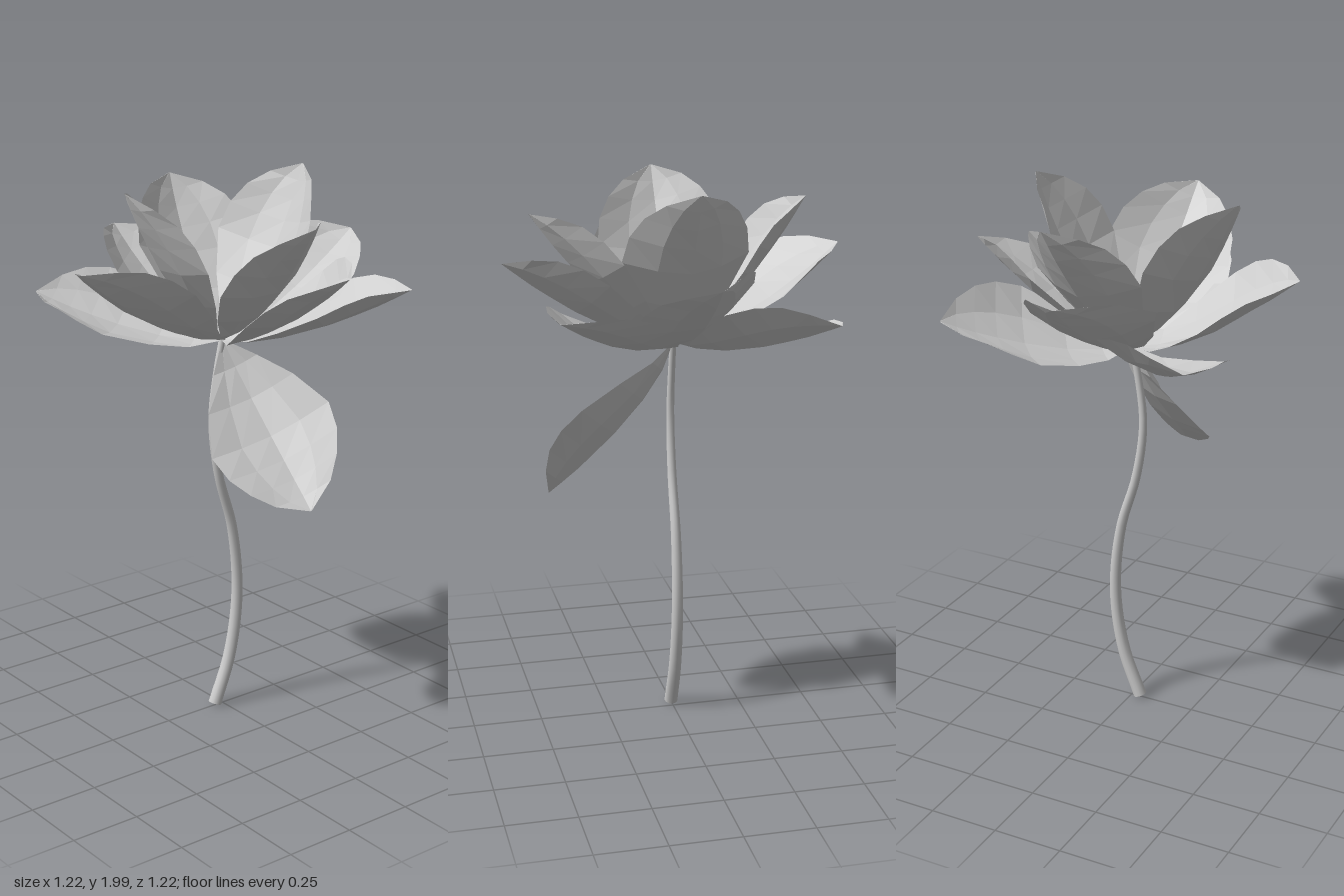
import * as THREE from 'three';

const BASE = new THREE.Vector3(0, 1.415, 0);
const LENGTH = 0.69;

// Rows along a petal: distance from base, half width, midrib height, rim height
const ROWS = [
  [0, 0.004, 0, 0],
  [0.1, 0.085, -0.03, -0.012],
  [0.225, 0.165, -0.047, 0.008],
  [0.38, 0.225, -0.046, 0.036],
  [0.48, 0.207, -0.036, 0.052],
  [0.56, 0.165, -0.026, 0.052],
  [0.63, 0.105, -0.013, 0.03],
  [LENGTH, 0.004, 0, 0],
];
const COLUMNS = [-1, -0.5, 0, 0.5, 1];

// Cupped, faceted petal: x across, y along, z towards the inner face
function petalGeometry() {
  const positions = [], index = [], n = COLUMNS.length;
  for (const [along, half, mid, rim] of ROWS) {
    for (const s of COLUMNS) {
      positions.push(s * half, along, mid + (rim - mid) * Math.abs(s) ** 1.6);
    }
  }
  for (let r = 0; r < ROWS.length - 1; r++) {
    for (let c = 0; c < n - 1; c++) {
      const a = r * n + c, b = a + n;
      index.push(a, a + 1, b + 1, a, b + 1, b);
    }
  }
  const indexed = new THREE.BufferGeometry();
  indexed.setAttribute('position', new THREE.Float32BufferAttribute(positions, 3));
  indexed.setIndex(index);
  const geometry = indexed.toNonIndexed();
  geometry.computeVertexNormals();
  return geometry;
}

// Places a petal from the flower base towards its tip, inner face turned to
// "facing", then rolled about its length (positive lifts its clockwise edge)
function placePetal(name, geometry, material, tip, roll = 0, facing = [0, 1, 0]) {
  const along = new THREE.Vector3(...tip).sub(BASE).normalize();
  const across = new THREE.Vector3().crossVectors(along, new THREE.Vector3(...facing)).normalize();
  const inner = new THREE.Vector3().crossVectors(across, along);
  const mesh = new THREE.Mesh(geometry, material);
  mesh.name = name;
  mesh.quaternion.setFromRotationMatrix(new THREE.Matrix4().makeBasis(across, along, inner));
  mesh.rotateY(-roll);
  mesh.position.copy(BASE);
  return mesh;
}

// Curved open tube that narrows towards the flower
function buildStem(material) {
  const path = new THREE.CatmullRomCurve3([
    [0.035, 0.015], [-0.035, 0.2], [-0.069, 0.44], [-0.045, 0.7],
    [0.018, 0.92], [0.045, 1.13], [0.025, 1.3], [0, 1.42],
  ].map(([z, y]) => new THREE.Vector3(0, y, z)));
  const segments = 32, sides = 12, bottom = 0.025, top = 0.012;
  const tube = new THREE.TubeGeometry(path, segments, bottom, sides);
  const pos = tube.attributes.position, v = new THREE.Vector3();
  for (let i = 0; i <= segments; i++) {
    const centre = path.getPointAt(i / segments);
    const scale = THREE.MathUtils.lerp(1, top / bottom, i / segments);
    for (let j = 0; j <= sides; j++) {
      const k = i * (sides + 1) + j;
      v.fromBufferAttribute(pos, k).sub(centre).multiplyScalar(scale).add(centre);
      pos.setXYZ(k, v.x, v.y, v.z);
    }
  }
  const stem = new THREE.Mesh(tube, material);
  stem.name = 'stem';
  return stem;
}

export function createModel() {
  const model = new THREE.Group();
  model.name = 'flower';
  const grey = new THREE.MeshStandardMaterial({ color: 0xcccccc, side: THREE.DoubleSide });
  grey.name = 'light grey';
  const petal = petalGeometry();

  // Three rings of petals, each given by its tip and roll
  const rings = {
    innerPetal: [
      [[-0.01, 2, -0.37], -0.04], [[-0.01, 1.97, 0.395], 0.18],
      [[-0.44, 1.93, -0.1], -0.06], [[0.5, 1.89, 0.01], -0.27],
    ],
    middlePetal: [
      [[-0.02, 1.74, -0.62], -0.3], [[0.03, 1.74, 0.615], -0.2],
      [[-0.61, 1.74, 0.035], -0.08], [[0.61, 1.74, -0.055], -0.3],
    ],
    lowerPetal: [
      [[-0.505, 1.56, 0.445], 0.25], [[-0.46, 1.57, -0.495], 0.32], [[0.48, 1.62, -0.46], 0],
    ],
  };
  for (const [name, petals] of Object.entries(rings)) {
    petals.forEach(([tip, roll], i) => model.add(placePetal(name + (i + 1), petal, grey, tip, roll)));
  }

  // Hanging leaf, turned towards the front
  model.add(placePetal('leaf', petal, grey, [0.46, 0.9, -0.03], 0, [0.63, 0.54, 0.56]));
  model.add(buildStem(grey));
  return model;
}
